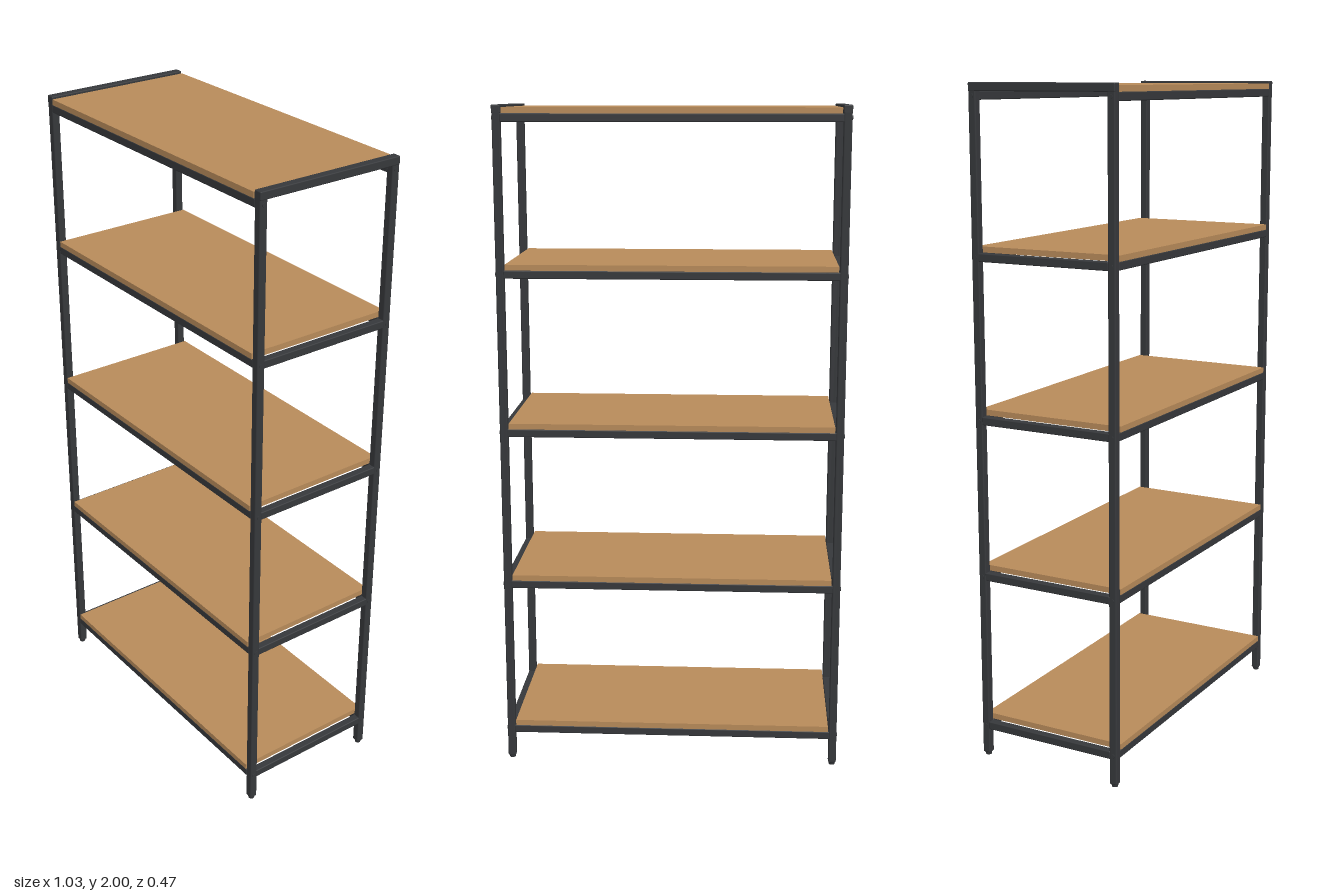
import * as THREE from 'three';
import { RoundedBoxGeometry } from 'three/addons/geometries/RoundedBoxGeometry.js';

export function createModel() {
  const model = new THREE.Group();
  model.name = 'shelvingUnit';
  const metal = new THREE.MeshStandardMaterial({ name: 'darkMetal', color: 0x36383b });
  const wood = new THREE.MeshStandardMaterial({ name: 'wood', color: 0xb88b5a });

  const T = 0.024; // tube thickness
  const X = 0.499, Z = 0.221; // post centres
  const tops = [0.127, 0.6, 1.073, 1.546, 1.993]; // upper face of each board
  const boardH = 0.017;

  const add = (parent, name, geometry, material, x, y, z) => {
    const mesh = new THREE.Mesh(geometry, material);
    mesh.name = name;
    mesh.position.set(x, y, z);
    parent.add(mesh);
  };

  const postGeo = new RoundedBoxGeometry(T, 1.99, T, 2, 0.004);
  const footGeo = new THREE.CylinderGeometry(0.011, 0.009, 0.012, 16);
  const longGeo = new RoundedBoxGeometry(2 * X - T + 0.004, T, T, 2, 0.003);
  const sideGeo = new RoundedBoxGeometry(T, T, 2 * Z - T + 0.004, 2, 0.003);
  const topSideGeo = new RoundedBoxGeometry(T + 0.002, T, 2 * Z + T, 2, 0.003);
  const boardGeo = new THREE.BoxGeometry(0.968, boardH, 0.466);
  const boltGeo = new THREE.CylinderGeometry(0.006, 0.006, 0.004, 12).rotateZ(Math.PI / 2);

  // Corner posts with small feet
  for (const sx of [-1, 1]) for (const sz of [-1, 1]) {
    add(model, 'post', postGeo, metal, sx * X, 1.003, sz * Z);
    add(model, 'foot', footGeo, metal, sx * X, 0.006, sz * Z);
  }

  // Shelf levels: board on long rails, side rails between the posts
  tops.forEach((top, i) => {
    const level = new THREE.Group();
    level.name = `shelf${i + 1}`;
    model.add(level);
    const railY = top - boardH - T / 2;
    const last = i === tops.length - 1;
    add(level, 'board', boardGeo, wood, 0, top - boardH / 2, 0);
    for (const s of [-1, 1]) {
      add(level, 'longRail', longGeo, metal, 0, railY, s * Z);
      if (last) add(level, 'topSideRail', topSideGeo, metal, s * X, 2 - T / 2, 0);
      else add(level, 'sideRail', sideGeo, metal, s * X, railY, 0);
      // Bolt heads on the outer post faces
      for (const sz of [-1, 1]) add(level, 'bolt', boltGeo, metal, s * (X + T / 2), railY, sz * Z);
    }
  });
  return model;
}
